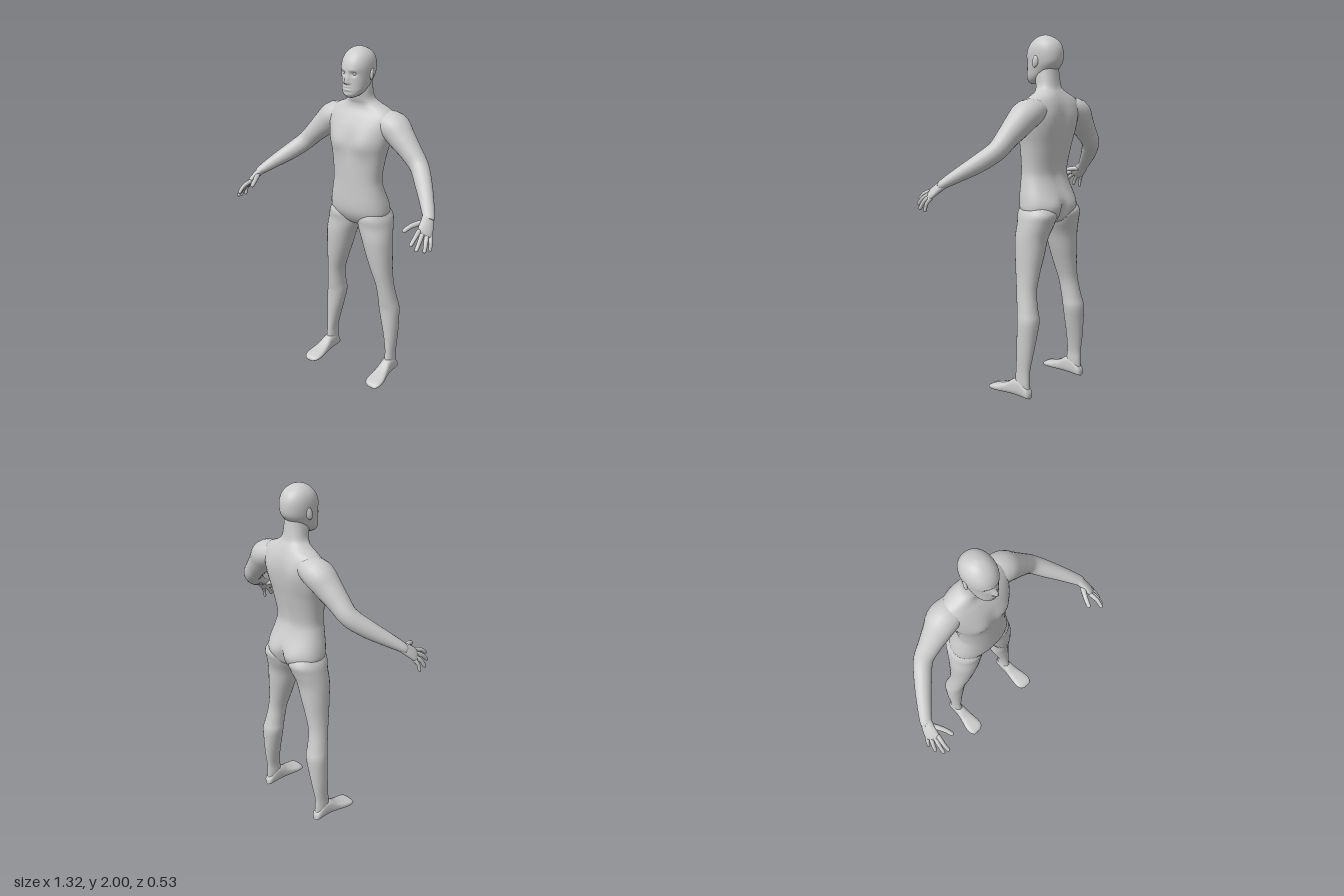
import * as THREE from 'three';

const material = new THREE.MeshStandardMaterial({ color: 0xcccccc, roughness: 0.8 });
const V = (x, y, z) => new THREE.Vector3(x, y, z);
const bump = (d, w) => Math.exp(-((d / w) ** 2));

// Smoothly resample rows of numbers (Catmull-Rom per column)
function resample(rows, steps) {
  const out = [];
  const at = (i) => rows[Math.min(rows.length - 1, Math.max(0, i))];
  for (let i = 0; i < rows.length - 1; i++) {
    for (let s = 0; s < steps; s++) {
      const t = s / steps;
      out.push(at(i).map((p1, c) => {
        const p0 = at(i - 1)[c], p2 = at(i + 1)[c], p3 = at(i + 2)[c];
        return p1 + 0.5 * t * (p2 - p0 + t * (2 * p0 - 5 * p1 + 4 * p2 - p3 + t * (3 * (p1 - p2) + p3 - p0)));
      }));
    }
  }
  out.push(at(rows.length - 1));
  return out;
}

// Closed skin over rings {c, u, v}; u x v points along the run of rings
function skin(rings, segs, k = 1, shape = null) {
  const pos = [], idx = [];
  const pw = (a) => Math.sign(a) * Math.abs(a) ** k;
  for (const { c, u, v } of rings) {
    for (let j = 0; j < segs; j++) {
      const a = (j / segs) * Math.PI * 2;
      const p = c.clone().addScaledVector(u, pw(Math.cos(a))).addScaledVector(v, pw(Math.sin(a)));
      if (shape) shape(p, c);
      pos.push(p.x, p.y, p.z);
    }
  }
  const n = rings.length;
  for (let i = 0; i < n - 1; i++) {
    for (let j = 0; j < segs; j++) {
      const a = i * segs + j, b = i * segs + ((j + 1) % segs);
      idx.push(a, b, a + segs, b, b + segs, a + segs);
    }
  }
  const first = n * segs, last = first + 1;
  pos.push(...rings[0].c.toArray(), ...rings[n - 1].c.toArray());
  for (let j = 0; j < segs; j++) {
    const k2 = (j + 1) % segs, top = (n - 1) * segs;
    idx.push(first, k2, j, last, top + j, top + k2);
  }
  const g = new THREE.BufferGeometry();
  g.setAttribute('position', new THREE.Float32BufferAttribute(pos, 3));
  g.setIndex(idx);
  g.computeVertexNormals();
  return g;
}

// Stacked level sections: [y, xMin, xMax, zFront, zBack]
function stack(rows, steps, segs, k, shape) {
  return skin(resample(rows, steps).map(([y, x0, x1, zf, zb]) => ({
    c: V((x0 + x1) / 2, y, (zf + zb) / 2), u: V((x1 - x0) / 2, 0, 0), v: V(0, 0, -(zf - zb) / 2),
  })), segs, k, shape);
}
const symmetric = (rows) => rows.map(([y, w, zf, zb]) => [y, -w, w, zf, zb]);

// Limb along a path: [x, y, z, radius along ref, other radius]
function limb(rows, ref, steps, segs) {
  const r = resample(rows, steps);
  const p = r.map((q) => V(q[0], q[1], q[2]));
  return skin(r.map((q, i) => {
    const t = p[Math.min(i + 1, p.length - 1)].clone().sub(p[Math.max(i - 1, 0)]).normalize();
    const u = ref.clone().addScaledVector(t, -ref.dot(t)).normalize();
    const v = t.clone().cross(u);
    return { c: p[i], u: u.multiplyScalar(q[3]), v: v.multiplyScalar(q[4]) };
  }), segs);
}

function mirrored(geometry) {
  const g = geometry.clone().scale(-1, 1, 1);
  const a = g.index.array;
  for (let i = 0; i < a.length; i += 3) [a[i], a[i + 1]] = [a[i + 1], a[i]];
  g.computeVertexNormals();
  return g;
}

export function createModel() {
  const model = new THREE.Group();
  model.name = 'humanFigure';
  const add = (name, g) => {
    const m = new THREE.Mesh(g, material);
    m.name = name;
    model.add(m);
  };
  const addPair = (name, g) => {
    add('left' + name, g);
    add('right' + name, mirrored(g));
  };

  // Torso and neck, with chest, spine groove and seat cleft
  add('torso', stack(symmetric([
    [0.965, 0.03, -0.1, -0.18], [0.99, 0.11, -0.06, -0.225], [1.04, 0.178, -0.025, -0.252],
    [1.1, 0.183, -0.01, -0.255], [1.2, 0.16, -0.01, -0.215], [1.27, 0.15, -0.01, -0.205],
    [1.4, 0.166, -0.008, -0.23], [1.48, 0.186, -0.006, -0.245], [1.56, 0.2, -0.025, -0.25],
    [1.62, 0.205, -0.055, -0.243], [1.66, 0.175, -0.08, -0.23], [1.69, 0.11, -0.085, -0.215],
    [1.72, 0.075, -0.075, -0.2], [1.78, 0.065, -0.065, -0.19], [1.84, 0.058, -0.075, -0.185],
  ]), 4, 48, 0.88, (p, c) => {
    if (p.z > c.z) {
      p.z += 0.012 * bump(Math.abs(p.x) - 0.085, 0.05) * bump(p.y - 1.48, 0.06);
      p.z -= 0.008 * bump(p.x, 0.02) * bump(p.y - 1.48, 0.09);
    } else {
      p.z += 0.014 * bump(p.x, 0.03) * bump(p.y - 1.42, 0.2);
      p.z += 0.035 * bump(p.x, 0.018) * bump(p.y - 1.03, 0.06);
      p.z -= 0.012 * bump(Math.abs(p.x) - 0.1, 0.05) * bump(p.y - 1.56, 0.08);
      p.z -= 0.012 * bump(Math.abs(p.x) - 0.085, 0.05) * bump(p.y - 1.06, 0.05);
    }
  }));

  // Head with brow, sockets, nose, lips and chin
  add('head', stack(symmetric([
    [1.735, 0.02, -0.02, -0.06], [1.75, 0.046, -0.004, -0.1], [1.775, 0.063, 0, -0.14],
    [1.81, 0.073, -0.002, -0.18], [1.85, 0.081, -0.004, -0.212], [1.9, 0.085, -0.003, -0.218],
    [1.94, 0.079, -0.018, -0.208], [1.97, 0.062, -0.043, -0.185], [1.99, 0.036, -0.073, -0.15],
    [1.999, 0.008, -0.105, -0.12],
  ]), 7, 80, 0.93, (p, c) => {
    if (p.z < c.z) return;
    const x = Math.abs(p.x), y = p.y;
    const slope = y < 1.822 ? bump(y - 1.822, 0.009) : bump(y - 1.822, 0.034);
    p.z += 0.028 * bump(x, 0.012) * slope + 0.008 * bump(x - 0.013, 0.008) * bump(y - 1.819, 0.008);
    p.z -= 0.012 * bump(x - 0.033, 0.016) * bump(y - 1.866, 0.012);
    p.z += 0.004 * bump(x - 0.03, 0.025) * bump(y - 1.886, 0.009);
    p.z += 0.008 * bump(x, 0.022) * (bump(y - 1.797, 0.007) + bump(y - 1.782, 0.007));
    p.z -= 0.004 * bump(x, 0.025) * bump(y - 1.79, 0.004);
    p.z += 0.004 * bump(x, 0.02) * bump(y - 1.755, 0.01);
  }));
  addPair('Eye', new THREE.SphereGeometry(0.012, 16, 12).translate(0.033, 1.866, -0.029));
  addPair('Ear', new THREE.SphereGeometry(1, 16, 12).scale(0.01, 0.033, 0.018)
    .rotateX(-0.2).rotateY(0.35).translate(0.083, 1.857, -0.113));

  // Legs
  addPair('Leg', stack([
    [1.11, 0.05, 0.15, -0.06, -0.2], [1.04, 0.008, 0.194, -0.03, -0.258], [0.98, 0.003, 0.208, -0.035, -0.245],
    [0.9, 0.035, 0.218, -0.035, -0.22], [0.8, 0.066, 0.222, -0.045, -0.21], [0.7, 0.1, 0.225, -0.06, -0.2],
    [0.6, 0.13, 0.234, -0.08, -0.197], [0.5, 0.137, 0.25, -0.096, -0.215], [0.44, 0.136, 0.261, -0.105, -0.228],
    [0.35, 0.155, 0.262, -0.107, -0.222], [0.25, 0.18, 0.26, -0.108, -0.212], [0.15, 0.2, 0.255, -0.105, -0.198],
    [0.09, 0.2, 0.256, -0.1, -0.198], [0.03, 0.204, 0.254, -0.11, -0.198],
  ].reverse(), 4, 28, 0.95));

  // Feet, run from heel to toe: [z, xMin, xMax, yTop]
  addPair('Foot', skin(resample([
    [-0.207, 0.215, 0.242, 0.03], [-0.195, 0.202, 0.256, 0.055], [-0.15, 0.196, 0.261, 0.1],
    [-0.1, 0.195, 0.264, 0.098], [-0.05, 0.19, 0.273, 0.067], [0, 0.184, 0.286, 0.047],
    [0.04, 0.184, 0.289, 0.036], [0.065, 0.194, 0.282, 0.027], [0.078, 0.215, 0.27, 0.014],
  ], 4).map(([z, x0, x1, h]) => ({
    c: V((x0 + x1) / 2, h / 2, z), u: V((x1 - x0) / 2, 0, 0), v: V(0, h / 2, 0),
  })), 24, 0.75));

  // Arms from inside the chest to the wrist
  addPair('Arm', limb([
    [0.1, 1.6, -0.16, 0.06, 0.07], [0.2, 1.578, -0.16, 0.08, 0.088], [0.265, 1.522, -0.15, 0.074, 0.075],
    [0.33, 1.462, -0.14, 0.061, 0.061], [0.395, 1.396, -0.125, 0.053, 0.052], [0.46, 1.335, -0.065, 0.049, 0.047],
    [0.53, 1.275, 0.012, 0.038, 0.039], [0.585, 1.225, 0.078, 0.026, 0.032], [0.594, 1.212, 0.092, 0.02, 0.028],
  ], V(0.3, 1, 0.2), 4, 24));

  // Palms
  const across = V(0.63, -0.44, -0.63);
  addPair('Palm', limb([
    [0.573, 1.237, 0.063, 0.028, 0.022], [0.593, 1.207, 0.1, 0.036, 0.021],
    [0.607, 1.175, 0.14, 0.043, 0.018], [0.612, 1.158, 0.16, 0.041, 0.013], [0.615, 1.152, 0.167, 0.03, 0.007],
  ], across, 4, 20));

  // Fingers: tip positions from first finger to little finger, then the thumb
  const digit = (name, a, b, c, r) => {
    const curve = new THREE.CatmullRomCurve3([a, b, c]);
    const radii = [1, 1.05, 0.95, 0.9, 0.85, 0.65, 0.2];
    const rows = [0, 0.25, 0.5, 0.7, 0.88, 0.97, 1].map((t, i) => [...curve.getPoint(t).toArray(), r * radii[i], r * radii[i]]);
    addPair(name, limb(rows, across, 2, 12));
  };
  const tips = [V(0.595, 1.128, 0.265), V(0.62, 1.1, 0.25), V(0.644, 1.082, 0.206), V(0.65, 1.075, 0.157)];
  tips.forEach((tip, i) => {
    const base = V(0.608, 1.165, 0.148).addScaledVector(across, -0.033 + i * 0.022);
    const bend = base.clone().lerp(tip, 0.5).add(V(0.005, 0.007, 0.005));
    digit('Finger' + (i + 1), base, bend, tip, i === 3 ? 0.0105 : 0.012);
  });
  digit('Thumb', V(0.582, 1.205, 0.11), V(0.545, 1.196, 0.175), V(0.525, 1.175, 0.226), 0.014);

  return model;
}
